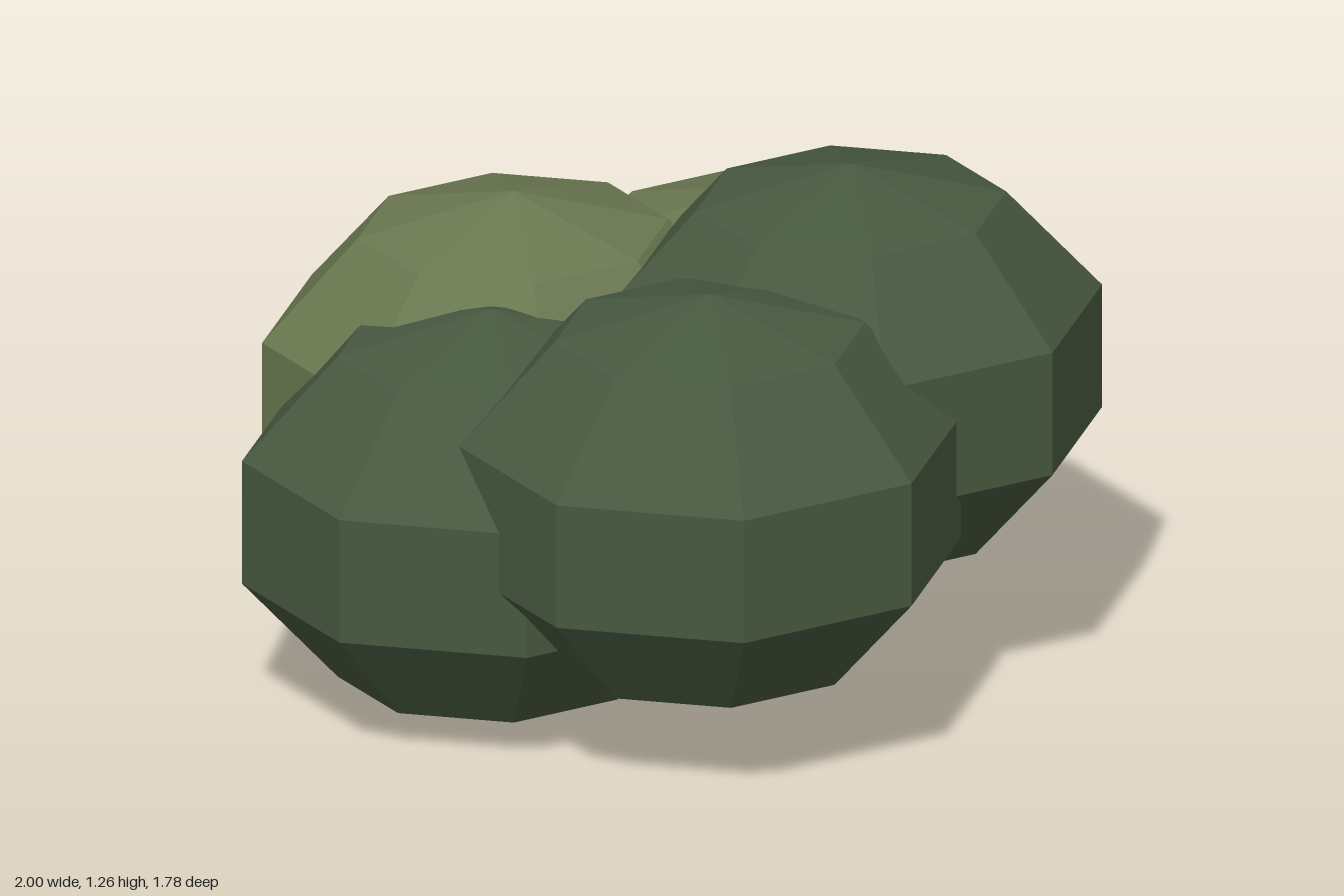
import * as THREE from 'three';

export function createModel() {
  const group = new THREE.Group();
  group.name = 'bush';

  const darkLeaf = new THREE.MeshStandardMaterial({ color: 0x475840 });
  darkLeaf.name = 'dark green leaves';
  const oliveLeaf = new THREE.MeshStandardMaterial({ color: 0x6a7850 });
  oliveLeaf.name = 'olive green leaves';

  // One faceted, slightly flattened leaf clump shared by the whole bush
  const clump = new THREE.SphereGeometry(1, 8, 5).toNonIndexed();
  clump.scale(0.61, 0.495, 0.54);
  clump.computeVertexNormals();

  // Overlapping clumps: name, material, centre
  const clumps = [
    ['frontClump', darkLeaf, 0.03, 0.652, 0.375],
    ['leftClump', darkLeaf, 0.42, 0.77, -0.043],
    ['rightClump', darkLeaf, -0.42, 0.495, 0.032],
    ['backLeftClump', oliveLeaf, 0.252, 0.578, -0.377],
    ['backRightClump', oliveLeaf, -0.318, 0.625, -0.33],
  ];
  for (const [name, material, x, y, z] of clumps) {
    const mesh = new THREE.Mesh(clump, material);
    mesh.name = name;
    mesh.position.set(x, y, z);
    group.add(mesh);
  }
  return group;
}
